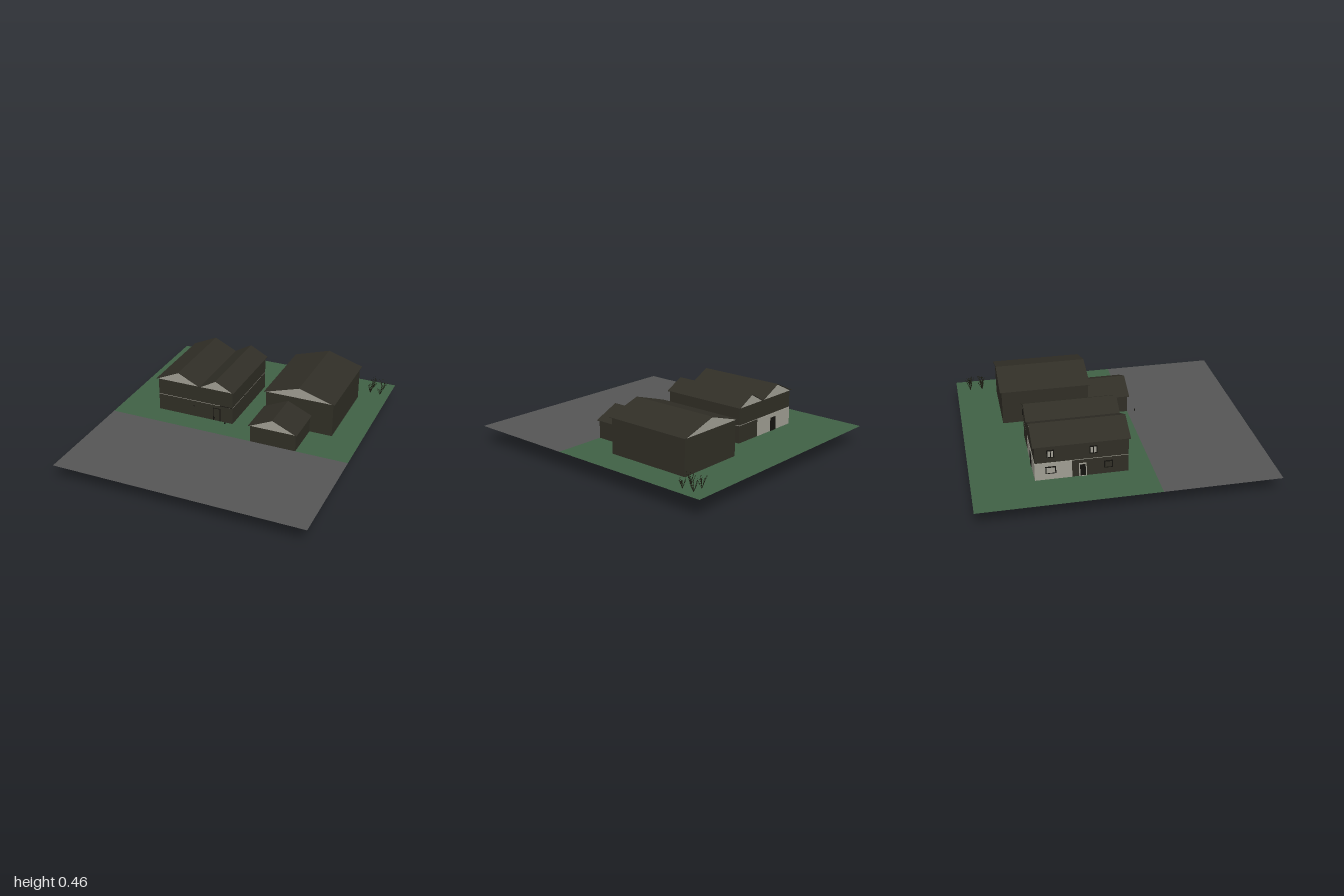
import * as THREE from 'three';

const mat = (name, color, side = THREE.FrontSide) => {
  const m = new THREE.MeshStandardMaterial({ color, side });
  m.name = name;
  return m;
};

export function createModel() {
  const root = new THREE.Group();
  root.name = 'houses';
  const grass = mat('grass green', 0x406045, THREE.DoubleSide);
  const paving = mat('paving grey', 0x555555, THREE.DoubleSide);
  const wall = mat('dark timber', 0x302e25);
  const roofing = mat('roof brown', 0x302e26);
  const plaster = mat('pale plaster', 0x9f9d92);
  const dark = mat('near black', 0x14130f);
  const leaf = mat('bush brown', 0x1c1d12, THREE.DoubleSide);
  const GROUND = 0.125;

  const add = (parent, name, geo, m) => {
    const mesh = new THREE.Mesh(geo, m);
    mesh.name = name;
    parent.add(mesh);
    return mesh;
  };
  // Box given by its two opposite corners
  const box = (parent, name, m, x0, x1, y0, y1, z0, z1) => {
    const b = add(parent, name, new THREE.BoxGeometry(x1 - x0, y1 - y0, z1 - z0), m);
    b.position.set((x0 + x1) / 2, (y0 + y1) / 2, (z0 + z1) / 2);
    return b;
  };
  const shapeOf = pts => new THREE.Shape(pts.map(p => new THREE.Vector2(...p)));
  const rect = (x0, x1, y0, y1) => [[x0, y0], [x1, y0], [x1, y1], [x0, y1]];
  const extrude = (parent, name, m, pts, z0, z1) => {
    const g = new THREE.ExtrudeGeometry(shapeOf(pts), { depth: z1 - z0, bevelEnabled: false });
    g.translate(0, 0, z0);
    return add(parent, name, g, m);
  };
  // Four thin walls, open above and below
  const walls = (parent, x0, x1, y0, y1, z0, z1) => {
    const t = 0.006;
    box(parent, 'frontWall', wall, x0, x1, y0, y1, z1 - t, z1);
    box(parent, 'backWall', wall, x0, x1, y0, y1, z0, z0 + t);
    box(parent, 'leftWall', wall, x1 - t, x1, y0, y1, z0 + t, z1 - t);
    box(parent, 'rightWall', wall, x0, x0 + t, y0, y1, z0 + t, z1 - t);
  };
  // Folded roof sheet over pale gables; line holds eaves, ridges and valleys
  const roof = (parent, line, z0, z1) => {
    const o = 0.012, last = line.length - 1;
    const top = line.map(([x, y], i) => [x + (i === 0 ? -o : i === last ? o : 0), y]);
    const under = top.map(([x, y]) => [x, y - 0.004]).reverse();
    extrude(parent, 'roof', roofing, [...top, ...under], z0 - o, z1 + o);
    for (let i = 0; i < last; i += 2) {
      const tri = line.slice(i, i + 3).map(([x, y]) => [x, y - 0.003]);
      extrude(parent, 'frontGable', plaster, tri, z1 - 0.005, z1);
      extrude(parent, 'backGable', plaster, tri, z0, z0 + 0.005);
    }
  };
  // Framed opening on a wall facing -x
  const sideOpening = (parent, name, x, y0, y1, zc, w, frame, pane) => {
    box(parent, name + 'Frame', frame, x - 0.006, x, y0, y1, zc - w / 2, zc + w / 2);
    box(parent, name + 'Pane', pane, x - 0.008, x - 0.005, y0 + 0.007, y1 - 0.007,
      zc - w / 2 + 0.007, zc + w / 2 - 0.007);
  };

  // Ground: lawn open under the large hall, paved forecourt in front
  const lawn = shapeOf(rect(-0.89, 0.885, -0.2, 1));
  lawn.holes.push(new THREE.Path(rect(0.185, 0.675, 0.088, 0.706).map(p => new THREE.Vector2(...p))));
  const flat = (name, m, s) => {
    const g = add(root, name, new THREE.ShapeGeometry(s), m);
    g.rotation.x = -Math.PI / 2;
    g.position.y = GROUND;
  };
  flat('lawn', grass, lawn);
  flat('forecourt', paving, shapeOf(rect(-0.89, 0.885, -1, -0.2)));

  // Twin-gabled house with basement
  const house = new THREE.Group();
  house.name = 'twinGableHouse';
  root.add(house);
  const [ax0, ax1, az0, az1] = [-0.6, -0.022, -0.583, 0.034];
  box(house, 'basementAndGroundFloor', wall, ax0, ax1, 0, 0.248, az0, az1);
  box(house, 'floorSlab', plaster, ax0, ax1, 0.248, 0.252, az0, az1);
  box(house, 'upperFloor', wall, ax0, ax1, 0.252, 0.37, az0, az1);
  box(house, 'ceiling', plaster, ax0, ax1, 0.37, 0.373, az0, az1);
  roof(house, [[ax0, 0.376], [-0.435, 0.456], [-0.27, 0.376], [-0.145, 0.447], [ax1, 0.376]], az0, az1);
  // Pale plaster around the rear corner
  box(house, 'backPlaster', plaster, ax0 - 0.002, -0.225, GROUND, 0.248, az0 - 0.002, az0);
  box(house, 'sidePlaster', plaster, ax0 - 0.002, ax0, GROUND, 0.248, az0, -0.34);
  box(house, 'backDoor', dark, -0.435, -0.375, GROUND, 0.222, az0 - 0.005, az0 - 0.002);
  sideOpening(house, 'lowerWindow', ax0 - 0.001, 0.17, 0.222, -0.48, 0.07, dark, plaster);
  sideOpening(house, 'sideDoor', ax0, GROUND, 0.222, -0.27, 0.05, plaster, dark);
  sideOpening(house, 'lowerWindow', ax0, 0.17, 0.222, -0.1, 0.06, dark, wall);
  for (const z of [-0.48, -0.2]) {
    sideOpening(house, 'upperWindow', ax0, 0.29, 0.345, z, 0.05, dark, plaster);
    box(house, 'windowBar', dark, ax0 - 0.009, ax0 - 0.004, 0.29, 0.345, z - 0.003, z + 0.003);
  }
  // Front door outline and lamp
  for (const x of [-0.172, -0.12]) box(house, 'doorPost', dark, x, x + 0.004, GROUND, 0.225, az1, az1 + 0.003);
  box(house, 'doorHead', dark, -0.172, -0.116, 0.222, 0.226, az1, az1 + 0.003);
  box(house, 'doorHandle', dark, -0.165, -0.16, 0.14, 0.15, az1, az1 + 0.004);
  box(house, 'wallLamp', dark, -0.326, -0.318, 0.206, 0.214, az1, az1 + 0.006);
  box(house, 'frontTrim', dark, -0.116, ax1, 0.25, 0.253, az1, az1 + 0.003);

  // Large hall, open underneath
  const hall = new THREE.Group();
  hall.name = 'hall';
  root.add(hall);
  const [bx0, bx1, bz0, bz1] = [0.183, 0.677, -0.708, -0.088];
  walls(hall, bx0, bx1, GROUND, 0.37, bz0, bz1);
  box(hall, 'ceiling', plaster, bx0, bx1, 0.37, 0.373, bz0, bz1);
  roof(hall, [[bx0, 0.376], [0.432, 0.456], [bx1, 0.376]], bz0, bz1);
  for (const z of [-0.55, -0.4, -0.25]) sideOpening(hall, 'hallWindow', bx0, 0.18, 0.225, z, 0.04, dark, wall);
  // Furniture inside
  for (let i = 0; i < 4; i++) {
    const x = 0.27 + 0.09 * i, z = -0.62 + 0.07 * (i % 2);
    box(hall, 'table', dark, x, x + 0.05, 0.16, 0.166, z, z + 0.04);
    for (const dx of [0, 0.046]) for (const dz of [0, 0.036])
      box(hall, 'tableLeg', dark, x + dx, x + dx + 0.004, GROUND, 0.16, z + dz, z + dz + 0.004);
  }

  // Low annex in front of the hall
  const annex = new THREE.Group();
  annex.name = 'annex';
  root.add(annex);
  const [cx1, cz1] = [0.513, 0.2];
  box(annex, 'annexWalls', wall, bx0, cx1, GROUND - 0.001, 0.247, bz1, cz1);
  box(annex, 'annexCeiling', plaster, bx0, cx1, 0.247, 0.25, bz1, cz1);
  roof(annex, [[bx0, 0.253], [0.348, 0.333], [cx1, 0.253]], bz1 + 0.012, cz1);
  sideOpening(annex, 'annexDoor', bx0, GROUND, 0.222, 0.06, 0.13, dark, wall);

  // Small hanging lamp by the forecourt
  box(root, 'lamp', dark, -0.004, 0.004, 0.228, 0.24, 0.208, 0.216);

  // Bushes: bare twigs with scattered leaves
  let seed = 7;
  const rnd = () => (seed = (seed * 16807) % 2147483647) / 2147483647;
  const twigGeo = new THREE.CylinderGeometry(0.0008, 0.0015, 1, 4).translate(0, 0.5, 0);
  const leafGeo = new THREE.CircleGeometry(0.005, 4);
  const up = new THREE.Vector3(0, 1, 0);
  for (const bx of [0.743, 0.818]) for (const bz of [-0.9, -0.812]) {
    const bush = new THREE.Group();
    bush.name = 'bush';
    bush.position.set(bx, GROUND, bz);
    root.add(bush);
    for (let i = 0; i < 9; i++) {
      const a = i * 2.4, r = 0.012 + 0.02 * rnd();
      const tip = new THREE.Vector3(Math.cos(a) * r, 0.045 + 0.04 * rnd(), Math.sin(a) * r);
      const twig = add(bush, 'twig', twigGeo, leaf);
      twig.scale.y = tip.length();
      twig.quaternion.setFromUnitVectors(up, tip.clone().normalize());
      for (let j = 0; j < 4; j++) {
        const l = add(bush, 'leaf', leafGeo, leaf);
        l.position.copy(tip).multiplyScalar(0.55 + 0.15 * j);
        l.position.x += (rnd() - 0.5) * 0.008;
        l.rotation.set(rnd() * 6, rnd() * 6, 0);
        l.scale.y = 0.5;
      }
    }
  }
  return root;
}
